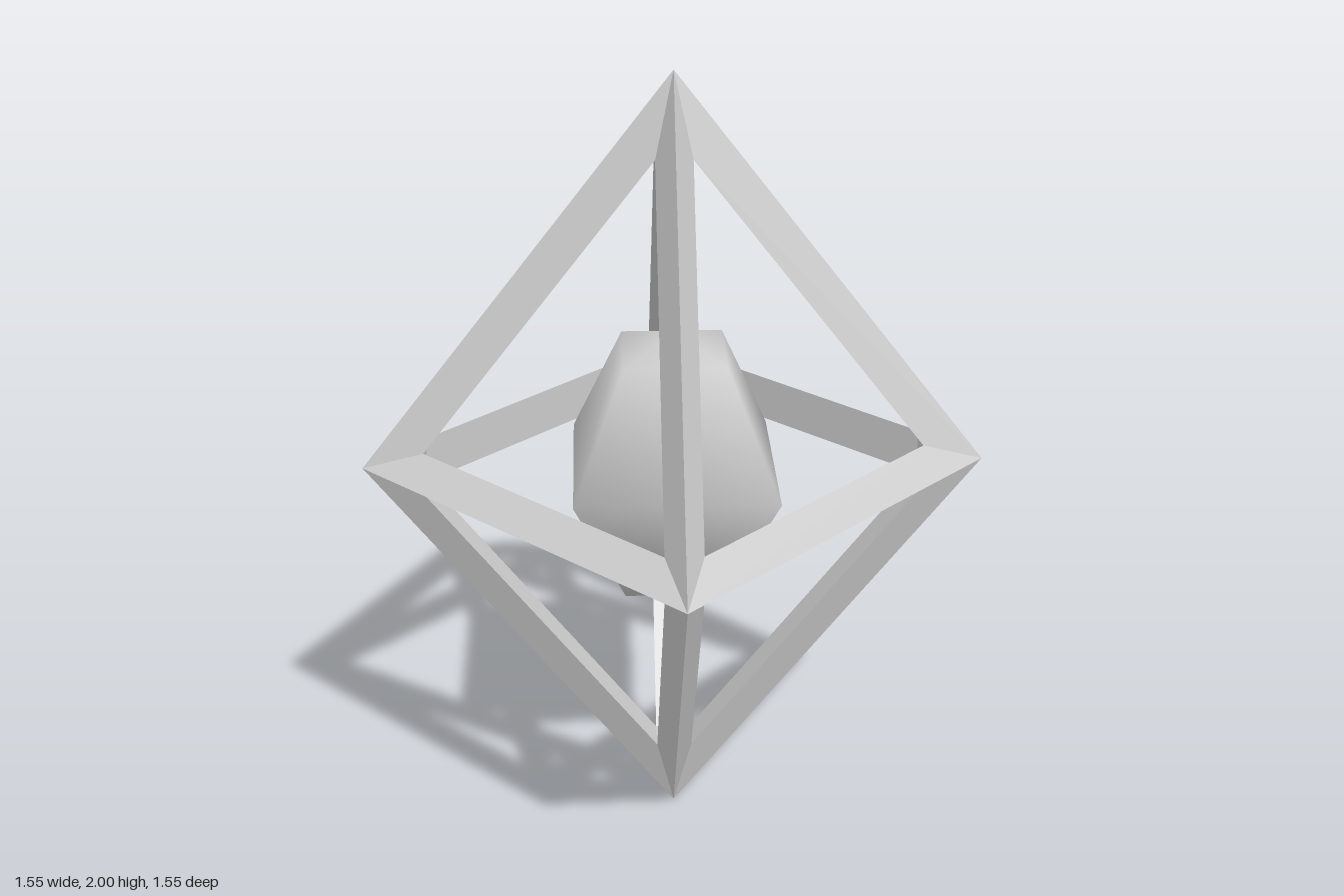
import * as THREE from 'three';

const RADIUS = [0.775, 1, 0.775]; // half extents of the octahedron
const EDGE = 0.058;               // half width of a strut, as a share of the radius
const TIP = 0.798;                // how far the openings reach towards each corner

// One eighth of the cage: three half struts around a triangular opening
function addOctant(out, signs) {
  const flip = signs[0] * signs[1] * signs[2] < 0;
  const point = (i, a, j, b, k, c) => {
    const p = [];
    p[i] = a; p[j] = b; p[k] = c;
    return p.map((v, n) => v * signs[n] * RADIUS[n]);
  };
  const quad = (a, b, c, d) => {
    const order = flip ? [a, c, b, a, d, c] : [a, b, c, a, c, d];
    order.forEach((p) => out.push(...p));
  };
  for (let i = 0; i < 3; i++) {
    const j = (i + 1) % 3, k = (i + 2) % 3;
    const holeI = point(i, TIP, j, EDGE, k, EDGE);
    const holeJ = point(i, EDGE, j, TIP, k, EDGE);
    const midI = point(i, TIP, j, EDGE, k, 0);
    const midJ = point(i, EDGE, j, TIP, k, 0);
    // outer slope of the strut
    quad(point(i, 1, j, 0, k, 0), point(i, 0, j, 1, k, 0), holeJ, holeI);
    // inner side of the strut
    quad(holeI, holeJ, midJ, midI);
    // inner side of the corner
    quad(holeI, midI, point(i, TIP, j, 0, k, 0), point(i, TIP, j, 0, k, EDGE));
  }
}

export function createModel() {
  const group = new THREE.Group();

  // open octahedral cage
  const positions = [];
  for (const x of [1, -1]) for (const y of [1, -1]) for (const z of [1, -1]) addOctant(positions, [x, y, z]);
  const cageGeometry = new THREE.BufferGeometry();
  cageGeometry.setAttribute('position', new THREE.Float32BufferAttribute(positions, 3));
  cageGeometry.computeVertexNormals();
  const cage = new THREE.Mesh(cageGeometry, new THREE.MeshStandardMaterial({ color: 0xcccccc, flatShading: true }));
  cage.name = 'octahedralCage';
  cage.position.y = 1;
  group.add(cage);

  // four-sided smooth gem floating in the middle
  const r = 0.354;
  const profile = [-90, -60, 0, 60, 90].map((deg) => {
    const t = THREE.MathUtils.degToRad(deg);
    return new THREE.Vector2(Math.max(0, r * Math.cos(t)), r * Math.sin(t));
  });
  profile[0].x = profile[4].x = 0;
  const coreGeometry = new THREE.LatheGeometry(profile, 4, Math.PI / 4);
  // shade it like a ball
  const pos = coreGeometry.attributes.position, normal = coreGeometry.attributes.normal;
  const v = new THREE.Vector3();
  for (let i = 0; i < pos.count; i++) {
    v.fromBufferAttribute(pos, i).normalize();
    normal.setXYZ(i, v.x, v.y, v.z);
  }
  const core = new THREE.Mesh(coreGeometry, new THREE.MeshStandardMaterial({ color: 0xcccccc }));
  core.name = 'core';
  core.position.y = 1;
  group.add(core);

  return group;
}
